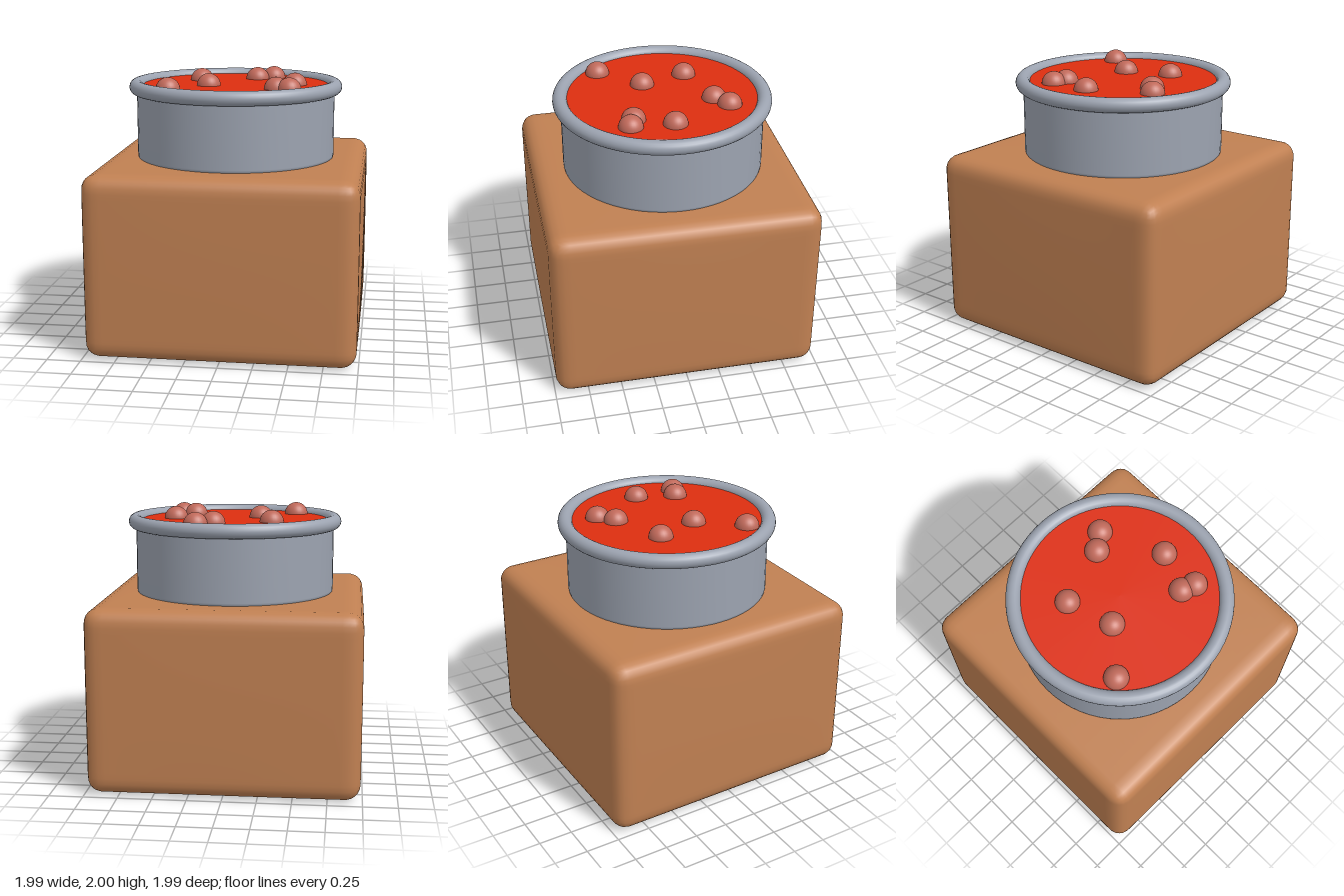
import * as THREE from 'three';
import { mergeVertices } from 'three/addons/utils/BufferGeometryUtils.js';

const material = (name, color) => {
  const m = new THREE.MeshStandardMaterial({ color });
  m.name = name;
  return m;
};

// Smooth rounded box whose faces swell very slightly towards their middles
function softBox(w, h, d, radius, bulge) {
  const geo = new THREE.BoxGeometry(w, h, d, 40, 32, 40);
  geo.deleteAttribute('uv');
  geo.deleteAttribute('normal');
  const half = new THREE.Vector3(w, h, d).multiplyScalar(0.5);
  const core = half.clone().subScalar(radius);
  const p = new THREE.Vector3();
  const pos = geo.attributes.position;
  for (let i = 0; i < pos.count; i++) {
    p.fromBufferAttribute(pos, i);
    const u = p.clone().divide(half);
    const inner = p.clone().clamp(core.clone().negate(), core);
    p.sub(inner).setLength(radius).add(inner);
    const fx = 1 - u.x * u.x, fy = 1 - u.y * u.y, fz = 1 - u.z * u.z;
    p.x += bulge * u.x * fy * fz;
    p.y += bulge * u.y * fx * fz;
    p.z += bulge * u.z * fx * fy;
    pos.setXYZ(i, p.x, p.y, p.z);
  }
  const merged = mergeVertices(geo, 1e-4);
  merged.computeVertexNormals();
  return merged;
}

export function createModel() {
  const model = new THREE.Group();
  model.name = 'potOnBlock';
  const clay = material('clay brown', 0xc08052);
  const steel = material('steel grey', 0x9ca3b0);
  const sauce = material('sauce red', 0xdd2e10);
  const meat = material('meat brown', 0xc0695a);

  const add = (name, geo, mat, x = 0, y = 0, z = 0) => {
    const mesh = new THREE.Mesh(geo, mat);
    mesh.name = name;
    mesh.position.set(x, y, z);
    model.add(mesh);
    return mesh;
  };

  // Base block
  add('block', softBox(1.97, 1.354, 1.97, 0.11, 0.008), clay, 0, 0.685, 0);

  // Pot wall with a small rounded foot
  const wall = [[0, 1.355], [0.725, 1.355], [0.738, 1.359], [0.747, 1.368], [0.75, 1.385], [0.75, 1.9]]
    .map(([r, y]) => new THREE.Vector2(r, y));
  add('potWall', new THREE.LatheGeometry(wall, 64), steel);

  // Rolled rim
  add('potRim', new THREE.TorusGeometry(0.752, 0.054, 20, 72), steel, 0, 1.897, 0).rotation.x = Math.PI / 2;

  // Sauce surface
  add('sauce', new THREE.CylinderGeometry(0.71, 0.71, 0.04, 64), sauce, 0, 1.89, 0);

  // Meatballs half sunk in the sauce
  const ball = new THREE.SphereGeometry(0.09, 28, 20);
  const spots = [
    [0.245, -0.45], [0.125, -0.36], [-0.295, -0.225], [0.45, -0.005],
    [-0.19, 0.115], [0.335, 0.275], [0.435, 0.312], [-0.445, 0.413],
  ];
  spots.forEach(([x, z], i) => add(`meatball${i + 1}`, ball, meat, x, 1.91, z));

  return model;
}
